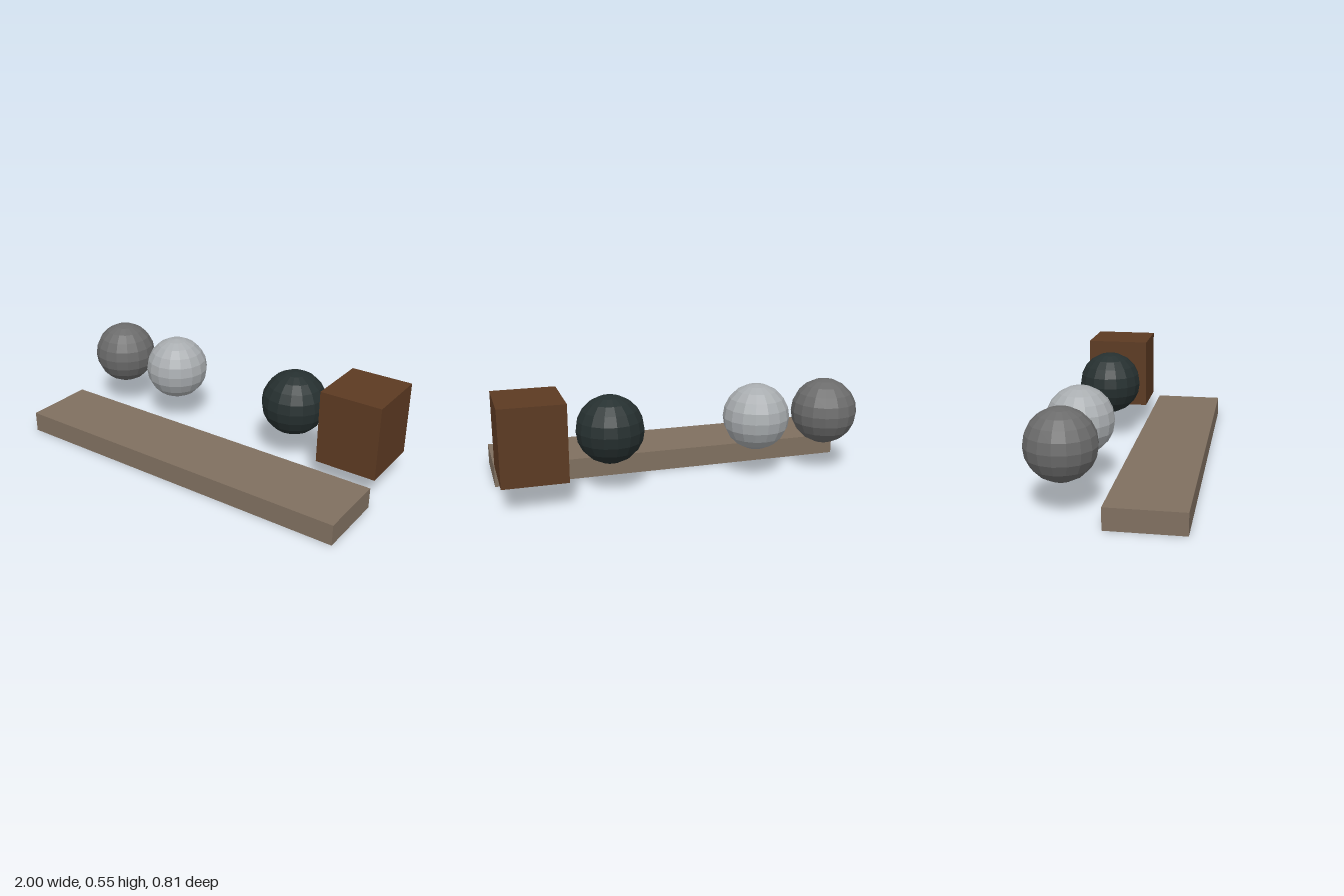
import * as THREE from 'three';

const material = (name, color) => {
  const m = new THREE.MeshStandardMaterial({ color, flatShading: true });
  m.name = name;
  return m;
};

export function createModel() {
  const group = new THREE.Group();
  const add = (name, geometry, mat, x, y, z) => {
    const mesh = new THREE.Mesh(geometry, mat);
    mesh.name = name;
    mesh.position.set(x, y, z);
    group.add(mesh);
  };

  // Long flat plank along the front
  add('plank', new THREE.BoxGeometry(2, 0.115, 0.4), material('weathered wood', 0x807060), 0, 0.0575, 0.204);

  // Wooden block floating behind the plank's left end
  add('block', new THREE.BoxGeometry(0.341, 0.409, 0.364), material('dark brown wood', 0x5c3a22), 0.8295, 0.3425, -0.222);

  // Row of faceted balls
  const ball = new THREE.SphereGeometry(0.182, 16, 10);
  const balls = [
    ['greyBall', 'grey', 0x6b6b6b, -0.818],
    ['silverBall', 'silver', 0xa9adb0, -0.409],
    ['darkBall', 'dark slate', 0x263030, 0.409],
  ];
  for (const [name, colorName, color, x] of balls) {
    add(name, ball, material(colorName, color), x, 0.344, -0.224);
  }
  return group;
}
